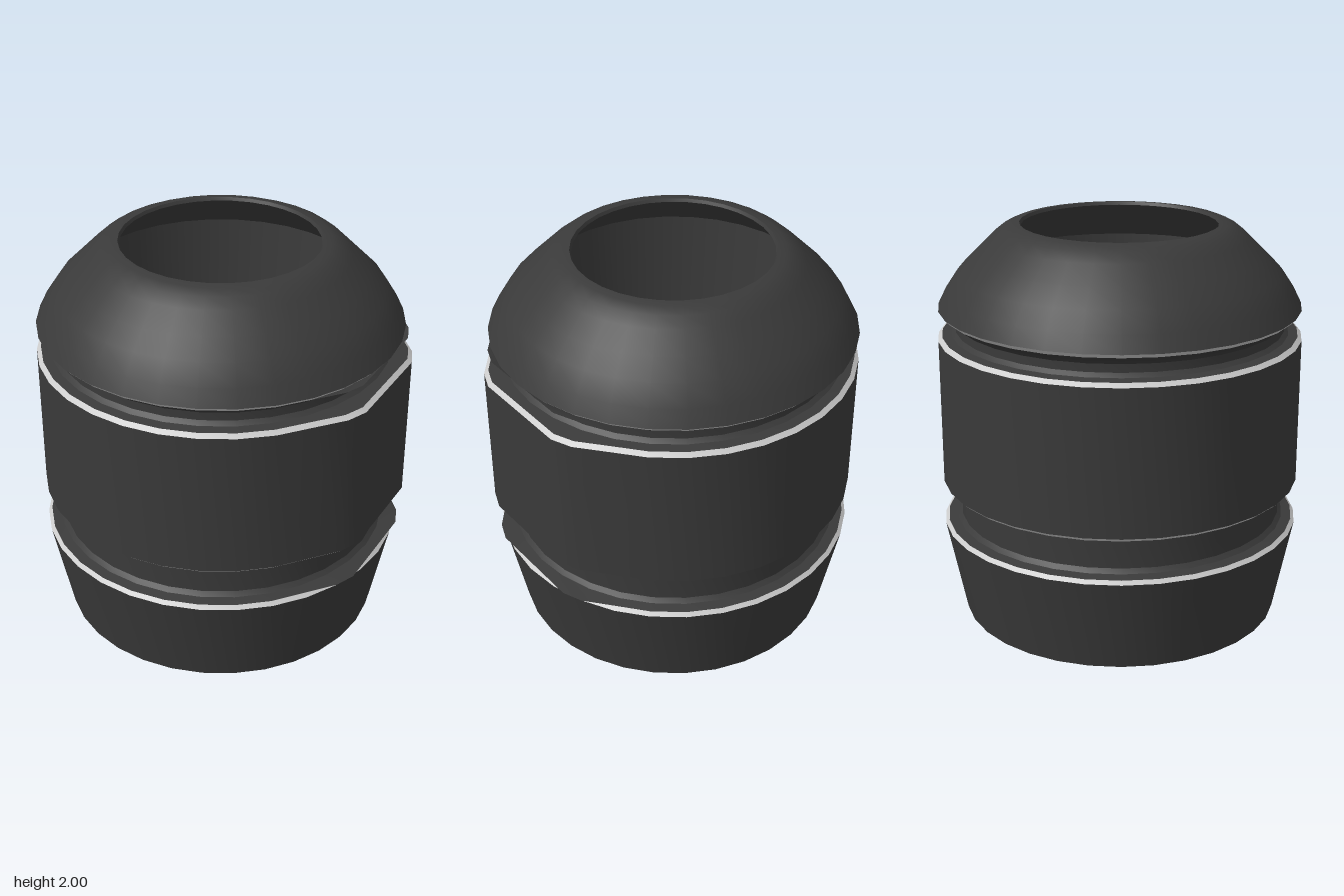
import * as THREE from 'three';
import { toCreasedNormals } from 'three/addons/utils/BufferGeometryUtils.js';

const SIDES = 32;
const R = 0.885;
const dark = new THREE.MeshStandardMaterial({ color: 0x3a3a3a, side: THREE.DoubleSide });
const light = new THREE.MeshStandardMaterial({ color: 0xcccccc, side: THREE.DoubleSide });

// Widens the outer ring into a flat pad on the +x side; the grooves stay round
function addPad(geometry) {
  const pad = { 1: [0.885, 0.26], 2: [0.845, 0.36] };
  const pos = geometry.attributes.position;
  for (let i = 0; i < pos.count; i++) {
    const x = pos.getX(i), z = pos.getZ(i), r = Math.hypot(x, z);
    const target = pad[Math.round(Math.abs(Math.atan2(z, x)) / (2 * Math.PI / SIDES))];
    if (r < 0.83 || !target) continue;
    pos.setX(i, target[0] * r / R);
    pos.setZ(i, Math.sign(z) * target[1] * r / R);
  }
}

// Profile points are [radius, height], listed upward on outer surfaces
function ring(name, profile, material, padded = false) {
  const geometry = new THREE.LatheGeometry(profile.map(p => new THREE.Vector2(...p)), SIDES);
  if (padded) addPad(geometry);
  const mesh = new THREE.Mesh(toCreasedNormals(geometry, Math.PI / 6), material);
  mesh.name = name;
  return mesh;
}

export function createModel() {
  const model = new THREE.Group();
  model.name = 'ringedHousing';
  model.add(
    // Tapered skirt, open below, and its bright edge
    ring('skirt', [[0.79, 0.04], [R, 0.51]], dark),
    ring('skirtEdge', [[R, 0.51], [0.868, 0.527]], light),
    // Lower groove
    ring('lowerGroove', [[0.868, 0.527], [0.82, 0.535], [0.8, 0.555], [0.8, 0.7], [0.82, 0.712], [0.865, 0.72]], dark, true),
    // Middle band with its side pad and bright edges
    ring('bandLowerEdge', [[0.865, 0.72], [R, 0.738]], light, true),
    ring('band', [[R, 0.738], [R, 1.452]], dark, true),
    ring('bandUpperEdge', [[R, 1.452], [0.865, 1.47]], light, true),
    // Upper groove
    ring('upperGroove', [[0.865, 1.47], [0.82, 1.477], [0.8, 1.495], [0.8, 1.535], [0.82, 1.555], [0.86, 1.58]], dark, true),
    // Dome with a bright lower edge and a rolled lip
    ring('domeEdge', [[0.86, 1.58], [0.88, 1.6]], light),
    ring('dome', [[0.88, 1.6], [0.84, 1.68], [0.78, 1.77], [0.7, 1.85], [0.615, 1.935], [0.565, 1.975], [0.52, 1.995], [0.48, 2]], dark),
    ring('domeLip', [[0.48, 2], [0.472, 1.985], [0.5, 1.96], [0.69, 1.79]], dark),
    // Tapered inner tube, closed partway by a floor
    ring('innerTube', [[0.545, 0], [0.69, 1.79]], dark),
    ring('innerFloor', [[0.626, 1], [0, 1]], dark)
  );
  return model;
}
